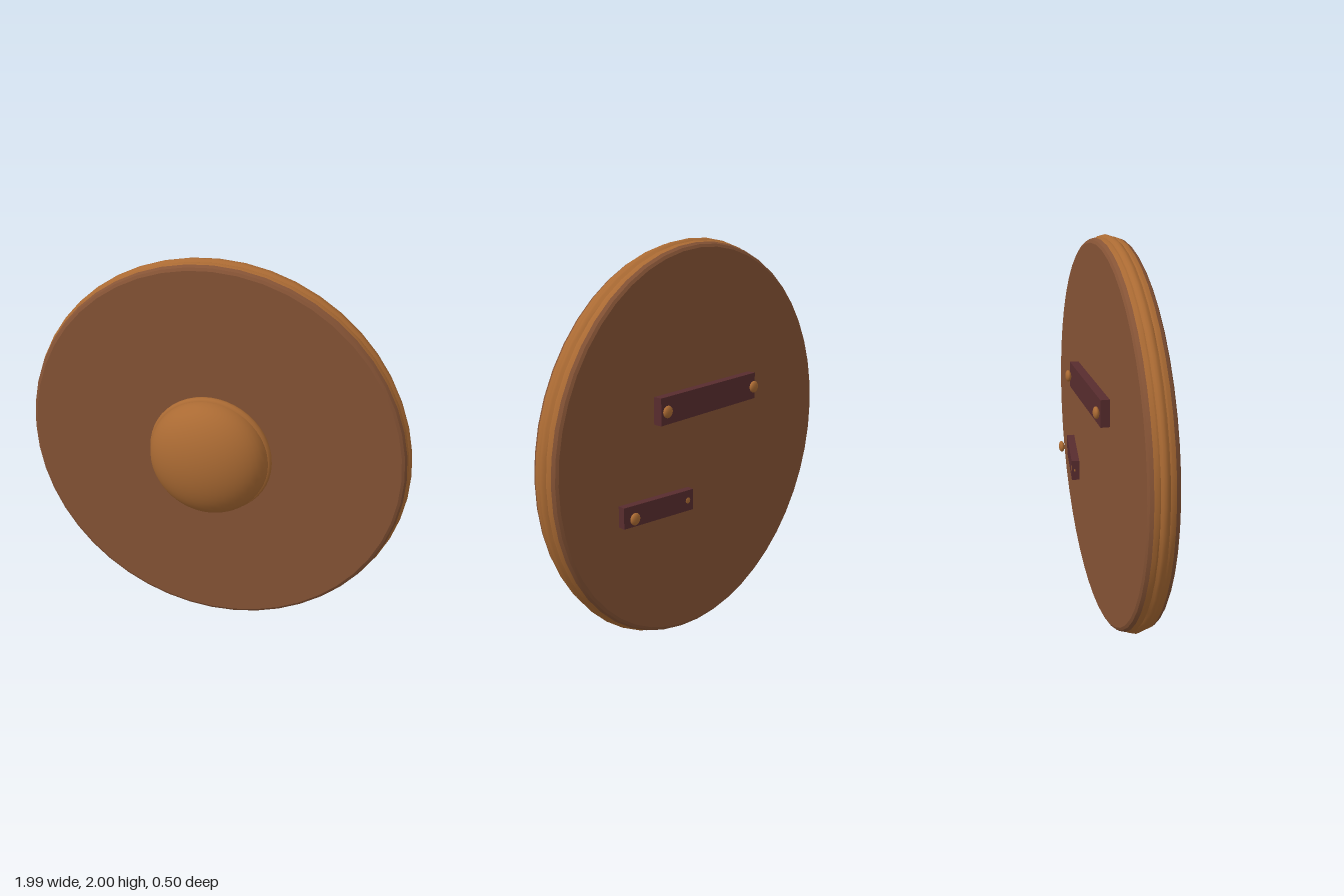
import * as THREE from 'three';
import { toCreasedNormals } from 'three/addons/utils/BufferGeometryUtils.js';

const material = (name, color) => {
  const m = new THREE.MeshStandardMaterial({ color });
  m.name = name;
  return m;
};

export function createModel() {
  const wood = material('wood', 0x855335);
  const bronze = material('bronze', 0xaa6a33);
  const leather = material('dark leather', 0x582c2e);

  // The whole shield is turned slightly about its upright axis
  const shield = new THREE.Group();
  shield.name = 'shield';
  shield.position.set(0, 1, -0.055);
  shield.rotation.y = -0.087;

  const add = (name, geometry, mat, x = 0, y = 0, z = 0) => {
    const mesh = new THREE.Mesh(geometry, mat);
    mesh.name = name;
    mesh.position.set(x, y, z);
    shield.add(mesh);
    return mesh;
  };

  // Turned part whose axis points to the front
  const turned = (points, crease) => toCreasedNormals(
    new THREE.LatheGeometry(points.map(([r, z]) => new THREE.Vector2(r, z)), 48).rotateX(Math.PI / 2),
    crease
  );

  // Wooden board: back and front faces with rounded edges
  const half = [[0, -0.075], [0.962, -0.075], [0.976, -0.067], [0.985, -0.05]];
  add('boardBack', turned(half, 0.45), wood);
  add('boardFront', turned(half.map(([r, z]) => [r, -z]).reverse(), 0.45), wood);

  // Bronze rim with a raised bead in the middle
  add('rim', turned([
    [0.985, -0.05], [0.99, -0.03], [0.988, -0.022], [0.997, -0.012], [1, 0],
    [0.997, 0.012], [0.988, 0.022], [0.99, 0.03], [0.985, 0.05],
  ], 0.6), bronze);

  // Domed boss and its collar
  const dome = add('bossDome', new THREE.SphereGeometry(0.307, 40, 24), bronze, 0, 0, 0.12);
  dome.scale.z = 0.59;
  add('bossCollar', new THREE.TorusGeometry(0.297, 0.024, 12, 48), bronze, 0, 0, 0.098);

  // Arm strap and slanted hand grip on the back
  add('armStrap', new THREE.BoxGeometry(0.72, 0.135, 0.045), leather, 0, 0.23, -0.117);
  const grip = add('handGrip', new THREE.BoxGeometry(0.43, 0.105, 0.04), leather, 0.38, -0.24, -0.126);
  grip.rotation.y = -0.14;

  // Flattened rivets; the inner grip rivet is almost sunk into the leather
  const rivets = [[-0.333, 0.23, -0.155], [0.33, 0.23, -0.155], [0.56, -0.24, -0.154], [0.196, -0.24, -0.159]];
  for (const [x, y, z] of rivets) {
    add('rivet', new THREE.SphereGeometry(0.03, 16, 12), bronze, x, y, z).scale.z = 0.5;
  }

  const model = new THREE.Group();
  model.name = 'roundShield';
  model.add(shield);
  return model;
}
